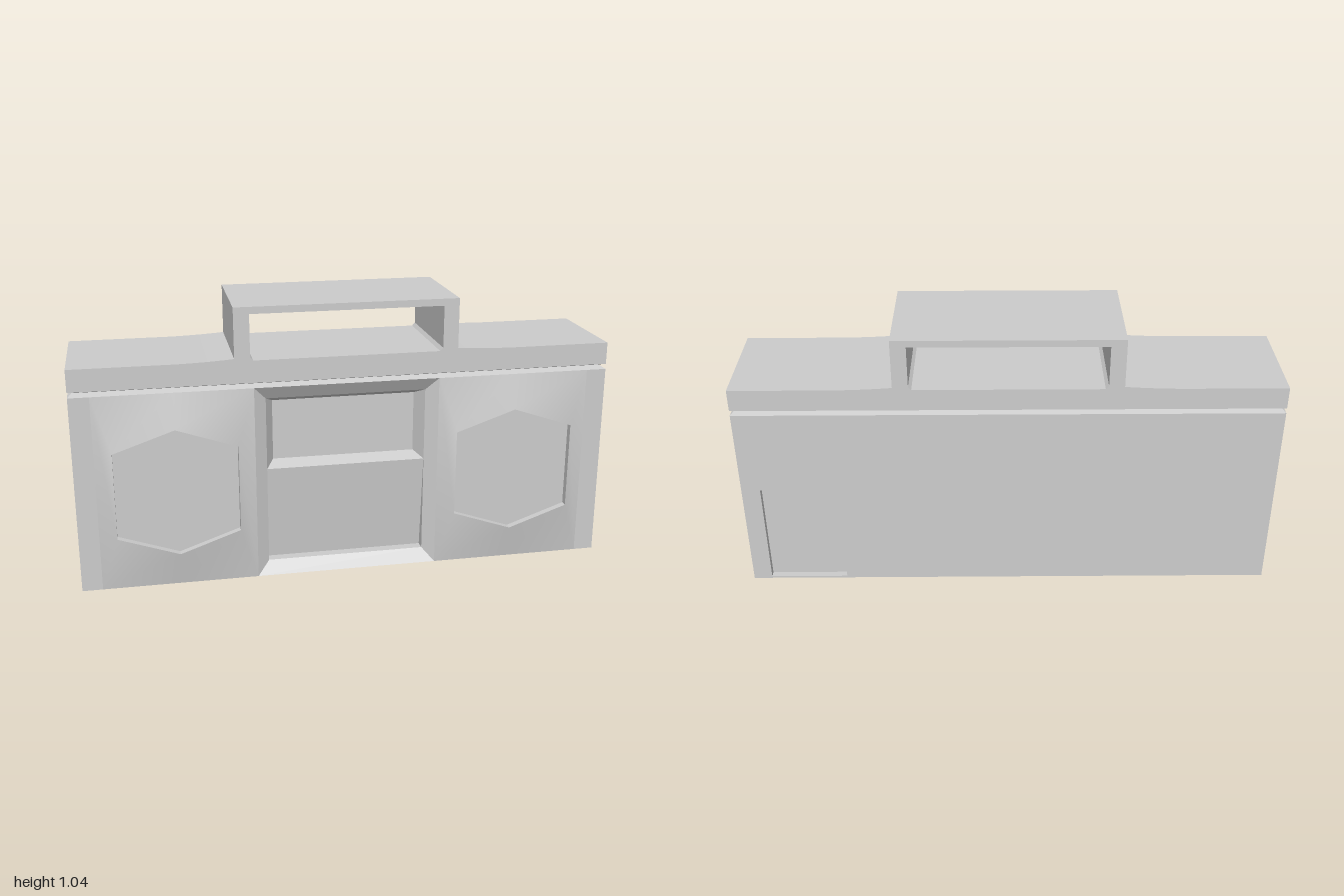
import * as THREE from 'three';

const W = 1, TOP = 0.745, FRONT = 0.19, BACK = -0.22;
const grey = new THREE.MeshStandardMaterial({ color: 0xcccccc });

// Rectangle ring, counter-clockwise from the front; z may differ for bottom and top
function rect(x0, x1, y0, y1, zLow, zHigh = zLow) {
  return [[x0, y0, zLow], [x1, y0, zLow], [x1, y1, zHigh], [x0, y1, zHigh]];
}

// Skin a list of closed rings; optionally cap the last one
function loft(rings, { cap = false, smooth = false } = {}) {
  const n = rings[0].length, index = [];
  for (let r = 0; r < rings.length - 1; r++) {
    for (let i = 0; i < n; i++) {
      const a = r * n + i, b = r * n + (i + 1) % n;
      index.push(a, b, b + n, a, b + n, a + n);
    }
  }
  if (cap) {
    const base = (rings.length - 1) * n;
    for (let i = 1; i < n - 1; i++) index.push(base, base + i, base + i + 1);
  }
  let g = new THREE.BufferGeometry();
  g.setAttribute('position', new THREE.Float32BufferAttribute(rings.flat(2), 3));
  g.setIndex(index);
  if (!smooth) g = g.toNonIndexed();
  g.computeVertexNormals();
  return g;
}

function part(parent, name, geometry) {
  const mesh = new THREE.Mesh(geometry, grey);
  mesh.name = name;
  parent.add(mesh);
  return mesh;
}

function path(points, Type = THREE.Shape) {
  return new Type(points.map(([x, y]) => new THREE.Vector2(x, y)));
}

// Raised speaker surround with a sunken hexagonal grille, centred on x = 0
function makeSpeaker(name) {
  const speaker = new THREE.Group();
  speaker.name = name;
  const outer = [[0, TOP], [-0.29, TOP], [-0.29, 0], [0, 0], [0.29, 0], [0.29, TOP]];
  const hex = [[0, 0.615], [-0.225, 0.538], [-0.225, 0.21], [0, 0.132], [0.225, 0.21], [0.225, 0.538]];
  const at = (pts, z) => pts.map(([x, y]) => [x, y, z]);
  part(speaker, 'speakerSurround', loft([at(outer, FRONT), at(hex, 0.222)], { smooth: true }));
  part(speaker, 'speakerGrille', loft([at(hex, 0.222), at(hex, 0.195)], { cap: true }));
  return speaker;
}

export function createModel() {
  const model = new THREE.Group();
  model.name = 'portableStereo';

  // Sides, underside and top of the case
  part(model, 'caseWalls', loft([rect(-W, W, 0, TOP, BACK), rect(-W, W, 0, TOP, FRONT)]));

  // Back panel with the sunken battery door
  const back = path([[-W, 0], [W, 0], [W, TOP], [-W, TOP]]);
  back.holes.push(path([[-0.93, 0.008], [-0.635, 0.008], [-0.635, 0.42], [-0.93, 0.42]], THREE.Path));
  const backGeometry = new THREE.ShapeGeometry(back);
  backGeometry.rotateY(Math.PI).translate(0, 0, BACK);
  part(model, 'backPanel', backGeometry);
  const door = z => rect(0.93, 0.635, 0.008, 0.42, z);
  part(model, 'batteryDoor', loft([door(BACK), door(BACK + 0.025)], { cap: true }));

  // Speakers and the flat strips at the outer edges
  for (const [side, s] of [['left', 1], ['right', -1]]) {
    const speaker = makeSpeaker(side + 'Speaker');
    speaker.position.x = s * 0.635;
    model.add(speaker);
    const strip = new THREE.PlaneGeometry(0.075, TOP);
    strip.translate(s * 0.9625, TOP / 2, FRONT);
    part(model, side + 'EdgeStrip', strip);
  }

  // Central bay: sloped frame, upper window and tilted lower tray
  part(model, 'bayFrame', loft([
    rect(-0.345, 0.345, 0, TOP, FRONT), rect(-0.3, 0.3, 0.05, 0.695, 0.16)]));
  part(model, 'upperWindow', loft([
    rect(-0.3, 0.3, 0.42, 0.695, 0.16), rect(-0.27, 0.27, 0.44, 0.67, 0.105)], { cap: true }));
  part(model, 'lowerTray', loft([
    rect(-0.3, 0.3, 0.05, 0.42, 0.16), rect(-0.3, 0.3, 0.05, 0.42, 0.122, 0.158)], { cap: true }));

  // V-shaped groove between case and lid
  const level = (y, dx, dz) => [
    [-W + dx, y, FRONT - dz], [W - dx, y, FRONT - dz], [W - dx, y, BACK + dz], [-W + dx, y, BACK + dz]];
  part(model, 'lidGroove', loft([level(TOP, 0, 0), level(0.755, 0.015, 0.03), level(0.765, 0, 0)]));

  // Lid and full-depth carrying handle in one outline
  const lid = new THREE.Shape();
  lid.moveTo(-W, 0.765).lineTo(W, 0.765).lineTo(W, 0.848).lineTo(0.62, 0.848);
  lid.quadraticCurveTo(0.5, 0.85, 0.413, 0.857);
  lid.lineTo(0.413, 1.043).lineTo(-0.413, 1.043).lineTo(-0.413, 0.857);
  lid.quadraticCurveTo(-0.5, 0.85, -0.62, 0.848);
  lid.lineTo(-W, 0.848);
  lid.holes.push(path([
    [-0.345, 0.848], [0.345, 0.848], [0.356, 0.86], [0.356, 1.017], [-0.356, 1.017], [-0.356, 0.86]], THREE.Path));
  const lidGeometry = new THREE.ExtrudeGeometry(lid, {
    depth: FRONT - BACK, bevelEnabled: false, curveSegments: 6 });
  lidGeometry.translate(0, 0, BACK);
  part(model, 'lidAndHandle', lidGeometry);

  return model;
}
